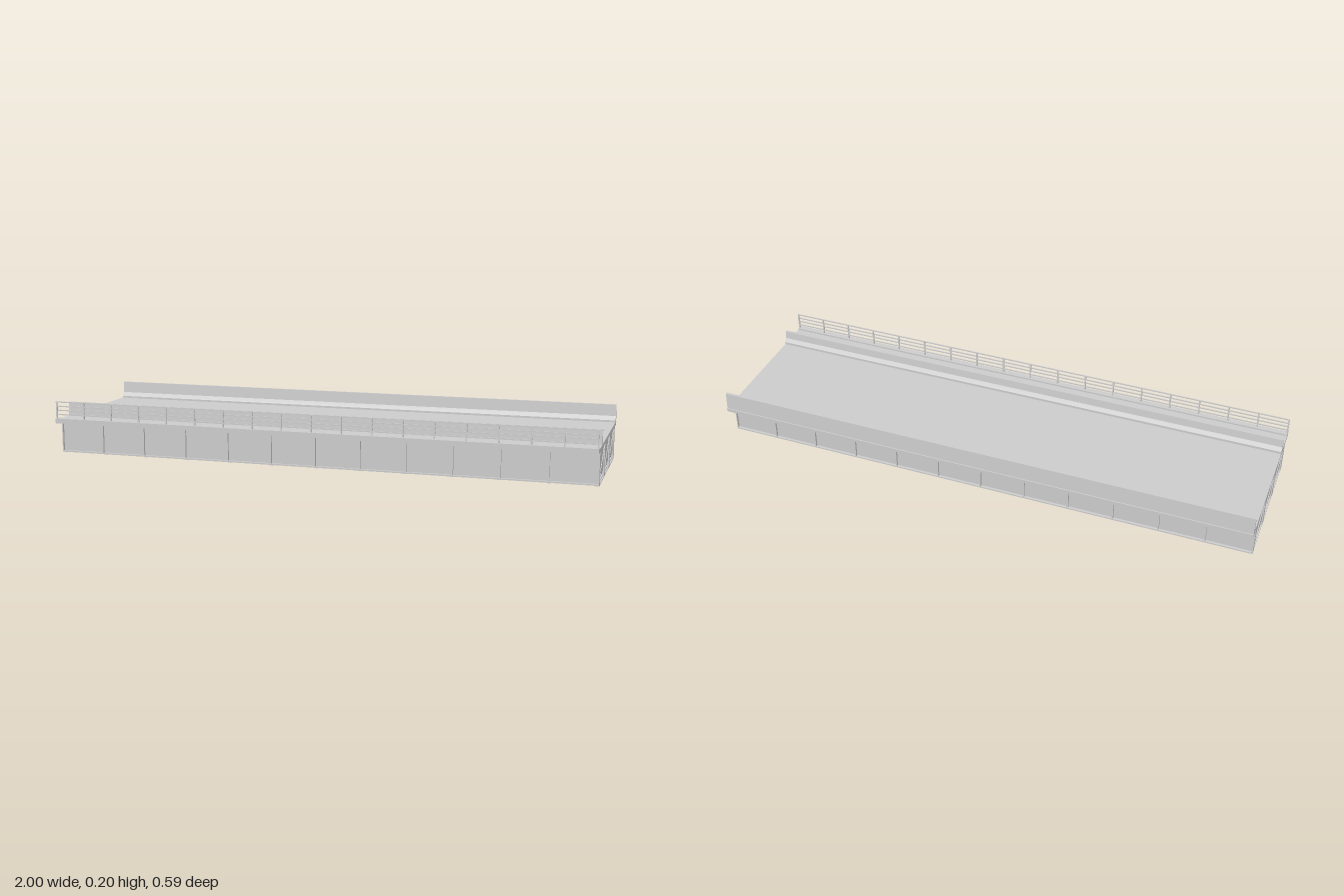
import * as THREE from 'three';

const grey = new THREE.MeshStandardMaterial({ color: 0xcccccc });

export function createModel() {
  const model = new THREE.Group();
  model.name = 'bridgeSpan';

  const group = (name, parent = model) => {
    const g = new THREE.Group();
    g.name = name;
    parent.add(g);
    return g;
  };
  // box given by its extents on each axis
  const box = (parent, name, [x0, x1], [y0, y1], [z0, z1]) => {
    const m = new THREE.Mesh(new THREE.BoxGeometry(x1 - x0, y1 - y0, z1 - z0), grey);
    m.position.set((x0 + x1) / 2, (y0 + y1) / 2, (z0 + z1) / 2);
    m.name = name;
    parent.add(m);
    return m;
  };
  // (z, y) profile swept along the full length
  const sweep = (name, points) => {
    const shape = new THREE.Shape(points.map(([z, y]) => new THREE.Vector2(-z, y)));
    const geo = new THREE.ExtrudeGeometry(shape, { depth: 2, bevelEnabled: false });
    geo.translate(0, 0, -1).rotateY(Math.PI / 2);
    const m = new THREE.Mesh(geo, grey);
    m.name = name;
    model.add(m);
  };
  const full = [-1, 1];

  // deck slab with raised curb along the walkway edge
  sweep('deck', [
    [0.297, 0.121], [-0.297, 0.121], [-0.297, 0.133],
    [0.276, 0.133], [0.276, 0.139], [0.297, 0.139],
  ]);

  // sloped concrete barriers
  sweep('walkwayBarrier', [
    [0.19, 0.132], [0.165, 0.132], [0.165, 0.142],
    [0.175, 0.156], [0.178, 0.185], [0.187, 0.185],
  ]);
  sweep('edgeBarrier', [
    [-0.293, 0.132], [-0.29, 0.197], [-0.281, 0.197],
    [-0.278, 0.155], [-0.268, 0.14], [-0.268, 0.132],
  ]);

  // walkway handrail
  const rail = group('handrail');
  for (let i = 0; i <= 18; i++) {
    const x = -0.9975 + (i * 1.995) / 18;
    box(rail, 'railPost', [x - 0.0025, x + 0.0025], [0.138, 0.202], [0.284, 0.289]);
  }
  for (const y of [0.2, 0.184, 0.169, 0.153]) {
    box(rail, 'railBar', full, [y - 0.002, y + 0.002], [0.2845, 0.2885]);
  }

  // I-girders with web stiffeners
  const girderZ = [0.2375, 0.079, -0.079, -0.2365];
  const half = 0.011;
  for (const z of girderZ) {
    const girder = group('girder');
    box(girder, 'topFlange', full, [0.117, 0.1215], [z - half, z + half]);
    box(girder, 'bottomFlange', full, [0.004, 0.009], [z - half, z + half]);
    box(girder, 'web', full, [0.008, 0.118], [z - 0.002, z + 0.002]);
    for (let i = 0; i <= 12; i++) {
      const x = -0.998 + (i * 1.996) / 12;
      box(girder, 'stiffener', [x - 0.002, x + 0.002], [0.008, 0.118], [z - half + 0.0005, z + half - 0.0005]);
    }
  }

  // cross frames: angle struts and X diagonals in every bay
  for (let i = 0; i <= 12; i++) {
    const x = -0.992 + (i * 1.984) / 12;
    const frame = group('crossFrame');
    box(frame, 'bottomStrut', [x - 0.007, x + 0.007], [0, 0.004], [-0.2365, 0.2375]);
    for (let b = 0; b < 3; b++) {
      const a = girderZ[b] - half, c = girderZ[b + 1] + half;
      box(frame, 'strutLeg', [x - 0.002, x + 0.002], [0.003, 0.008], [c, a]);
      if (i === 0 || i === 12) {
        // solid diaphragm at the ends
        box(frame, 'endDiaphragm', [x - 0.004, x + 0.004], [0.027, 0.118], [c, a]);
      }
      const w = a - c, h = 0.094;
      for (const s of [-1, 1]) {
        const m = new THREE.Mesh(new THREE.BoxGeometry(0.006, 0.006, Math.hypot(w, h)), grey);
        m.position.set(x + s * 0.003, 0.061, (a + c) / 2);
        m.rotation.x = s * Math.atan2(h, w);
        m.name = 'diagonalBrace';
        frame.add(m);
      }
    }
  }
  return model;
}
